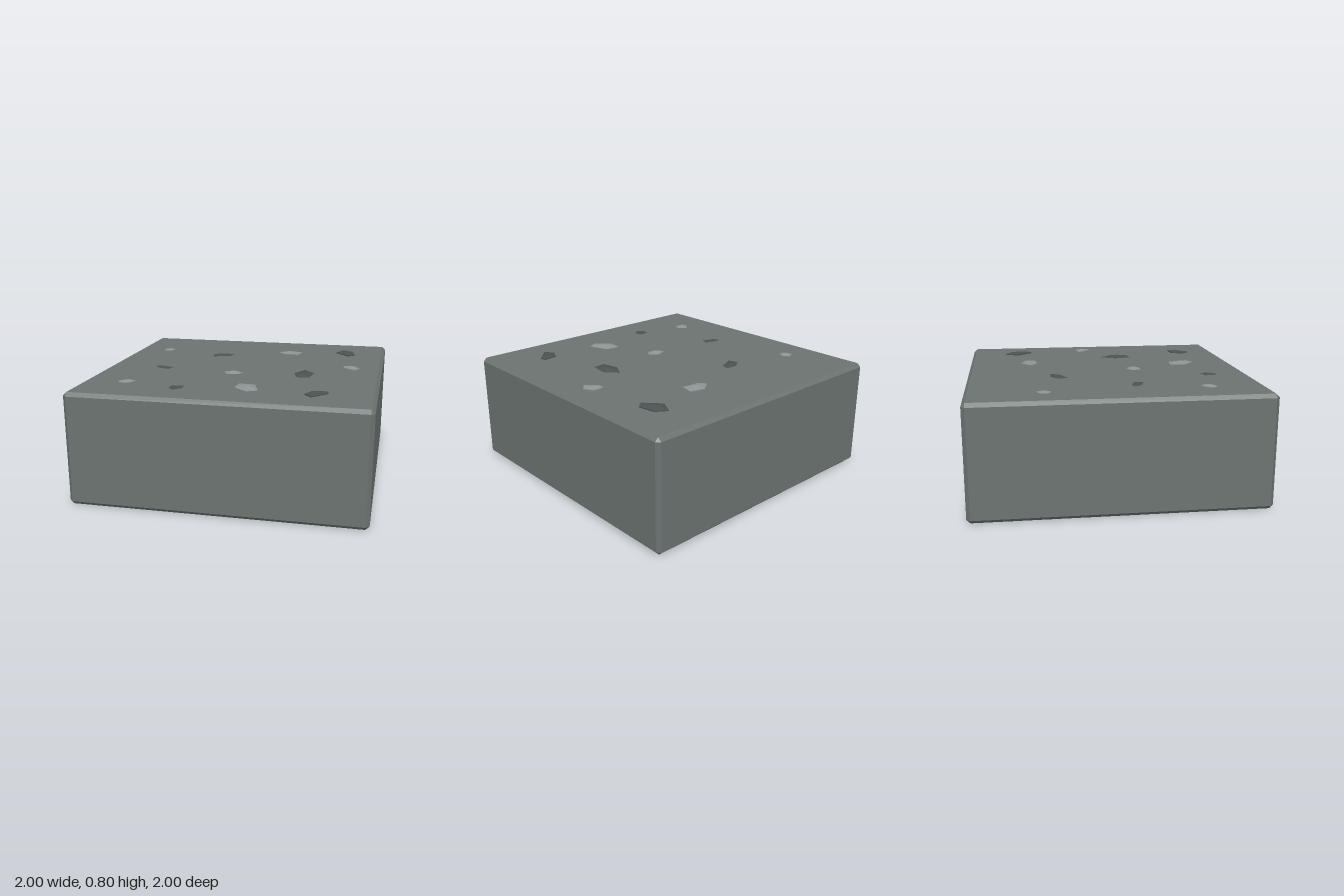
import * as THREE from 'three';
import { ConvexGeometry } from 'three/addons/geometries/ConvexGeometry.js';

const TOP = 0.78, BEVEL = 0.025;

// Outlines as x, z pairs, clockwise from above; rim lifts the edge, height is the peak
const lightChips = [
  { rim: 0, height: 0.012, outline: [-.79, -.51, -.73, -.54, -.70, -.49, -.73, -.44, -.78, -.45] },
  { rim: 0.005, height: 0.018, outline: [.16, -.55, .24, -.61, .35, -.58, .33, -.49, .20, -.50] },
  { rim: 0.006, height: 0.02, outline: [.72, -.13, .74, -.14, .80, -.14, .84, -.07, .80, -.02, .72, -.09] },
  { rim: 0, height: 0.015, outline: [-.11, .19, -.03, .16, .03, .21, -.01, .26, -.09, .26] },
  { rim: 0, height: 0.012, outline: [-.76, .62, -.70, .56, -.64, .60, -.67, .66, -.74, .66] },
  { rim: 0, height: 0.018, outline: [.07, .52, .18, .53, .23, .68, .16, .72, .06, .63] },
];
const darkChips = [
  { rim: 0, height: 0.014, outline: [-.34, -.37, -.26, -.42, -.18, -.41, -.20, -.35, -.32, -.30] },
  { rim: 0.006, height: 0.02, outline: [.67, -.73, .75, -.68, .77, -.56, .72, -.52, .62, -.63] },
  { rim: 0, height: 0.017, outline: [.45, .03, .53, .11, .51, .25, .42, .26, .39, .14] },
  { rim: 0, height: 0.011, outline: [-.65, .12, -.60, .11, -.52, .14, -.54, .20, -.63, .17] },
  { rim: 0, height: 0.012, outline: [-.36, .68, -.28, .66, -.27, .72, -.32, .77, -.36, .74] },
  { rim: 0.006, height: 0.02, outline: [.58, .64, .68, .63, .69, .67, .59, .78, .54, .72] },
];

// Box with every edge cut at 45 degrees
function chamferedBox(w, h, d, c) {
  const half = [w / 2, h / 2, d / 2], points = [];
  for (let axis = 0; axis < 3; axis++)
    for (const sx of [-1, 1]) for (const sy of [-1, 1]) for (const sz of [-1, 1]) {
      const p = [sx, sy, sz].map((s, i) => s * (half[i] - (i === axis ? 0 : c)));
      points.push(new THREE.Vector3(...p));
    }
  return new ConvexGeometry(points);
}

// Shallow faceted mound with a short skirt set into the slab
function chipGeometry({ rim, height, outline }) {
  const n = outline.length / 2, pos = [];
  const at = (i, y) => [outline[(i % n) * 2], y, outline[(i % n) * 2 + 1]];
  const apex = [0, height, 0];
  for (let i = 0; i < n; i++) {
    apex[0] += outline[i * 2] / n;
    apex[2] += outline[i * 2 + 1] / n;
  }
  const edge = rim + 0.001, base = -0.004;
  for (let i = 0; i < n; i++) {
    pos.push(...apex, ...at(i + 1, edge), ...at(i, edge));
    pos.push(...at(i, edge), ...at(i + 1, edge), ...at(i + 1, base));
    pos.push(...at(i, edge), ...at(i + 1, base), ...at(i, base));
  }
  const g = new THREE.BufferGeometry();
  g.setAttribute('position', new THREE.Float32BufferAttribute(pos, 3));
  g.computeVertexNormals();
  return g;
}

export function createModel() {
  const model = new THREE.Group();
  model.name = 'stoneBlock';
  const material = (color) => new THREE.MeshStandardMaterial({ color, flatShading: true });

  // Main block
  const slab = new THREE.Mesh(chamferedBox(2, TOP, 2, BEVEL), material(0x6b7371));
  slab.name = 'slab';
  slab.position.y = TOP / 2;
  model.add(slab);

  // Stone chips scattered on the top
  for (const [name, color, chips] of [['lightChip', 0x8c9493, lightChips], ['darkChip', 0x4b5251, darkChips]]) {
    const mat = material(color);
    chips.forEach((chip, i) => {
      const mesh = new THREE.Mesh(chipGeometry(chip), mat);
      mesh.name = name + (i + 1);
      mesh.position.y = TOP;
      model.add(mesh);
    });
  }
  return model;
}
